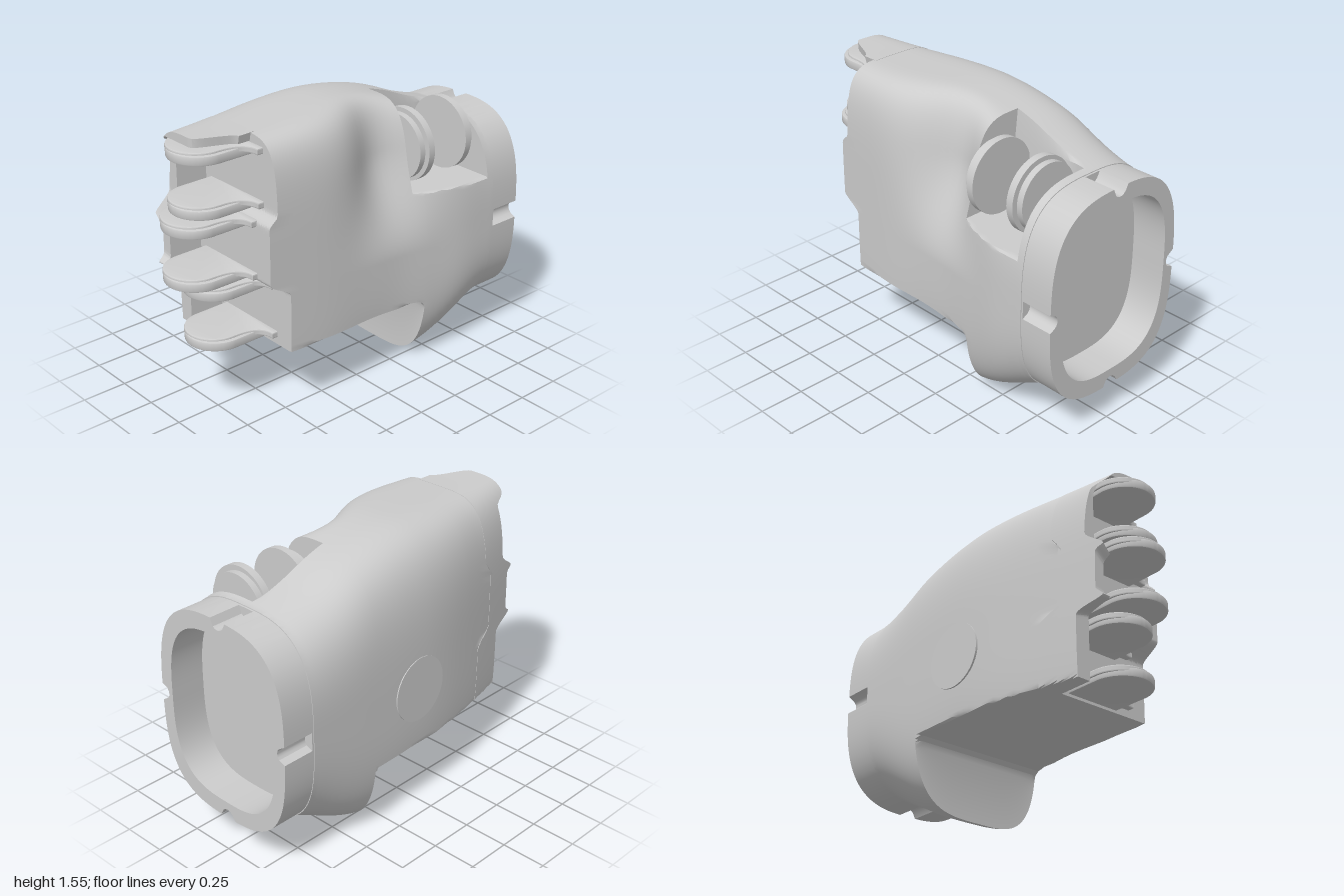
import * as THREE from 'three';
import { toCreasedNormals } from 'three/addons/utils/BufferGeometryUtils.js';

const mat = new THREE.MeshStandardMaterial({ color: 0xcccccc, roughness: 0.8 });
const CX = -0.02, CY = 0.77; // axis every cross-section is measured from

// smooth interpolation through [position, value] keys
function curve(keys) {
  return (t) => {
    if (t <= keys[0][0]) return keys[0][1];
    for (let i = 1; i < keys.length; i++) {
      if (t <= keys[i][0]) {
        const p1 = keys[i - 1], p2 = keys[i], p0 = keys[i - 2] || p1, p3 = keys[i + 1] || p2;
        const h = p2[0] - p1[0], u = (t - p1[0]) / h;
        const m1 = (p2[1] - p0[1]) / (p2[0] - p0[0]) * h, m2 = (p3[1] - p1[1]) / (p3[0] - p1[0]) * h;
        const u2 = u * u, u3 = u2 * u;
        return (2 * u3 - 3 * u2 + 1) * p1[1] + (u3 - 2 * u2 + u) * m1 + (3 * u2 - 2 * u3) * p2[1] + (u3 - u2) * m2;
      }
    }
    return keys[keys.length - 1][1];
  };
}
const step = THREE.MathUtils.smoothstep;
const bump = (t, c, w) => Math.exp(-(((t - c) / w) ** 2));
const backX = curve([[-0.8, 0.451], [-0.4, 0.45], [0, 0.443], [0.2, 0.425], [0.4, 0.39], [0.6, 0.345], [0.9, 0.27]]);
const palmX = curve([[-0.8, 0.449], [-0.6, 0.438], [-0.4, 0.405], [-0.2, 0.375], [0, 0.365], [0.3, 0.36], [0.65, 0.335]]);
const topY = curve([[-0.8, 1.328], [-0.6, 1.39], [-0.4, 1.47], [-0.2, 1.52], [0, 1.545], [0.2, 1.545], [0.6, 1.53], [0.9, 1.53]]);
const heelY = curve([[-0.8, 0.197], [-0.37, 0.002], [0, 0]]);
// three knuckle steps: palm front, and scalloped back-of-hand edge
const frontZ = (y) => 0.53 + 0.12 * step(y, 0.71, 0.8) - 0.05 * step(y, 1.1, 1.16);
const shellZ = (y) => 0.73 + 0.11 * step(y, 0.71, 0.79) - 0.06 * step(y, 1.1, 1.17) + 0.09 * step(y, 1.44, 1.5)
  + 0.05 * bump(y, 1.11, 0.03) + 0.05 * bump(y, 0.77, 0.03);

// true where (x, y) lies inside the solid at depth z
function inside(x, y, z, o) {
  const yt = topY(z), yb = heelY(z), yc = (yt + yb) / 2;
  const dent = 0.155 * bump(z, -0.16, 0.22) * step(y, 0.7, 1.25);
  const a = x > 0 ? palmX(z) - dent : backX(z);
  const n = 3 + 0.6 * step(z, -0.8, -0.35) + (x > 0 ? 1.8 : 0.3) * step(z, -0.1, 0.5);
  if (Math.abs(x / a) ** n + Math.abs((y - yc) / ((yt - yb) / 2)) ** n > 1) return false;
  if (o.floor && y < o.floor) return false;
  if (o.pocket && x > -0.005 && y > 1.01) return false;
  if (o.notch) {
    for (const [nx, ny] of [[0.445, 0.76], [-0.445, 0.76], [-0.01, 1.32], [-0.01, 0.2]]) {
      if (Math.hypot(x - nx, y - ny) < 0.045) return false;
    }
  }
  return true;
}
// surface distance from the axis in direction th
function radius(th, z, o) {
  let lo = 0, hi = 1.2;
  for (let i = 0; i < 22; i++) {
    const r = (lo + hi) / 2;
    if (inside(CX + r * Math.cos(th), CY + r * Math.sin(th), z, o)) lo = r; else hi = r;
  }
  return lo;
}
const polar = (th, r, z) => [CX + r * Math.cos(th), CY + r * Math.sin(th), z];

// skin closed rings of equal length
function loft(rings, crease) {
  const n = rings[0].length, idx = [];
  for (let i = 0; i < rings.length - 1; i++) {
    for (let j = 0; j < n; j++) {
      const a = i * n + j, b = i * n + (j + 1) % n;
      idx.push(a, b, b + n, a, b + n, a + n);
    }
  }
  const g = new THREE.BufferGeometry();
  g.setAttribute('position', new THREE.Float32BufferAttribute(rings.flat(2), 3));
  g.setIndex(idx);
  return toCreasedNormals(g, crease);
}
function add(group, name, geo, x = 0, y = 0, z = 0) {
  const m = new THREE.Mesh(geo, mat);
  m.name = name;
  m.position.set(x, y, z);
  group.add(m);
  return m;
}

function palmGeometry() {
  const N = 240, angles = Array.from({ length: N }, (_, j) => (j / N) * Math.PI * 2);
  const rings = [];
  const ring = (z, o = {}, s = 1) => rings.push(angles.map((th) => polar(th, radius(th, z, o) * s, z)));
  // wrist socket, rim and notched cuff
  ring(-0.8, {}, 0); ring(-0.8, {}, 0.83); ring(-1, {}, 0.83);
  ring(-1, { notch: true }, 0.992); ring(-0.82, { notch: true }, 0.992);
  ring(-0.82, {}, 0.992); ring(-0.81, {}, 0.992); ring(-0.81);
  // thumb pocket
  ring(-0.785); ring(-0.77);
  for (let i = 0; i <= 9; i++) ring(-0.77 + i * 0.0444, { pocket: true });
  ring(-0.37, { pocket: true });
  // heel step, then the flat-bottomed hand
  ring(-0.37, { pocket: true, floor: 0.335 }); ring(-0.36, { pocket: true, floor: 0.365 });
  ring(-0.335, { pocket: true, floor: 0.385 }); ring(-0.31, { pocket: true, floor: 0.385 });
  const o = { floor: 0.385 };
  for (let i = 0; i <= 17; i++) ring(-0.31 + i * 0.0418, o);
  // stepped knuckle front
  const edge = (u) => angles.map((th) => {
    const y = polar(th, radius(th, 0.55, o), 0)[1], z = 0.4 + (frontZ(y) - 0.4) * u;
    return polar(th, radius(th, z, o), z);
  });
  rings.push(edge(0.5));
  const rim = edge(1), S = 48;
  rings.push(rim);
  for (let k = S; k >= 0; k--) {
    rings.push(rim.map(([x, y]) => {
      const py = CY + (y - CY) * (k / S);
      return [CX + (x - CX) * (k / S), py, frontZ(py)];
    }));
  }
  return loft(rings, 0.55);
}

// thin wall over the back and top of the knuckles
function shellGeometry() {
  const o = { floor: 0.385 }, rows = [], M = 140, K = 6;
  const start = Math.atan2(0.385 - CY, -0.23 - CX) + Math.PI * 2, end = Math.atan2(0.75, 0.16);
  for (let i = 0; i <= M; i++) {
    const th = start + (end - start) * (i / M), c = Math.cos(th), s = Math.sin(th);
    const y = CY + radius(th, 0.7, o) * s, z0 = frontZ(y) - 0.02;
    const z1 = shellZ(y) - 0.2 * step(c, 0.05, 0.21);
    const limit = Math.min(c < 0 ? (-0.23 - CX) / c : 9, s > 0 ? (1.485 - CY) / s : 9);
    const row = [];
    for (let k = 0; k <= K; k++) {
      const z = z0 + (z1 - z0) * (k / K);
      row.push(polar(th, radius(th, z, o) + 0.002, z));
    }
    row.push(polar(th, Math.min(limit, radius(th, z1, o)), z1), polar(th, Math.min(limit, radius(th, z0, o)), z0));
    rows.push(row);
  }
  const collapse = (row) => {
    const m = [0, 1, 2].map((k) => row.reduce((sum, p) => sum + p[k], 0) / row.length);
    return row.map(() => m);
  };
  return loft([collapse(rows[0]), ...rows, collapse(rows[M])], 0.55);
}

// flat plate with softened edges, lying in the xz plane, shape +y becoming +z
function plateGeometry(shape, thick) {
  const b = 0.008;
  const g = new THREE.ExtrudeGeometry(shape, {
    depth: thick - 2 * b, bevelEnabled: true, bevelSize: b, bevelThickness: b, bevelSegments: 2, curveSegments: 28,
  });
  g.translate(0, 0, -thick / 2 + b);
  g.rotateX(Math.PI / 2);
  return toCreasedNormals(g, 0.6);
}
// round tip, straight outer edge, palm edge flaring into a short arm
function hingeShape(r, length) {
  const s = new THREE.Shape();
  s.moveTo(-r, -length);
  s.lineTo(0.26, -length);
  s.lineTo(0.26, 0.035 - length);
  s.quadraticCurveTo(r, 0.03 - length, r, 0);
  s.absarc(0, 0, r, 0, Math.PI);
  return s;
}

export function createModel() {
  const root = new THREE.Group();
  root.name = 'palm';
  add(root, 'palmBody', palmGeometry());
  add(root, 'knuckleShell', shellGeometry());

  // finger hinges: two plates each, a wide round one under a slimmer flared one
  for (const [tip, base, ...ys] of [[0.95, 0.59, 1.45, 1.17], [1.0, 0.635, 1.085, 0.8], [0.89, 0.52, 0.71, 0.43]]) {
    const hinge = new THREE.Group();
    hinge.name = 'fingerHinge';
    root.add(hinge);
    for (const y of ys) {
      const z = tip - 0.165, round = new THREE.Shape();
      round.absarc(0, 0, 0.157, 0, Math.PI);
      round.lineTo(-0.157, base - z);
      round.lineTo(0.157, base - z);
      add(hinge, 'hingePlate', plateGeometry(round, 0.05), -0.02, y - 0.005, z);
      add(hinge, 'hingeArmPlate', plateGeometry(hingeShape(0.15, z - base), 0.035), -0.035, y + 0.013, z);
    }
  }

  // thumb hinge: two facing discs, each with a smaller boss outside
  const thumb = new THREE.Group();
  thumb.name = 'thumbHinge';
  root.add(thumb);
  for (const [z, out] of [[-0.39, 1], [-0.66, -1]]) {
    add(thumb, 'thumbDisc', new THREE.CylinderGeometry(0.2, 0.2, 0.04, 56), 0.185, 1.23, z).rotation.x = Math.PI / 2;
    add(thumb, 'thumbBoss', new THREE.CylinderGeometry(0.18, 0.18, 0.04, 56), 0.175, 1.225, z + out * 0.035).rotation.x = Math.PI / 2;
  }

  // round cover on the back of the hand
  const cover = add(root, 'backCover', new THREE.CylinderGeometry(0.18, 0.18, 0.02, 48), -0.44, 0.73, -0.05);
  cover.rotation.z = Math.PI / 2 - 0.01;
  cover.rotation.y = 0.03;
  return root;
}
